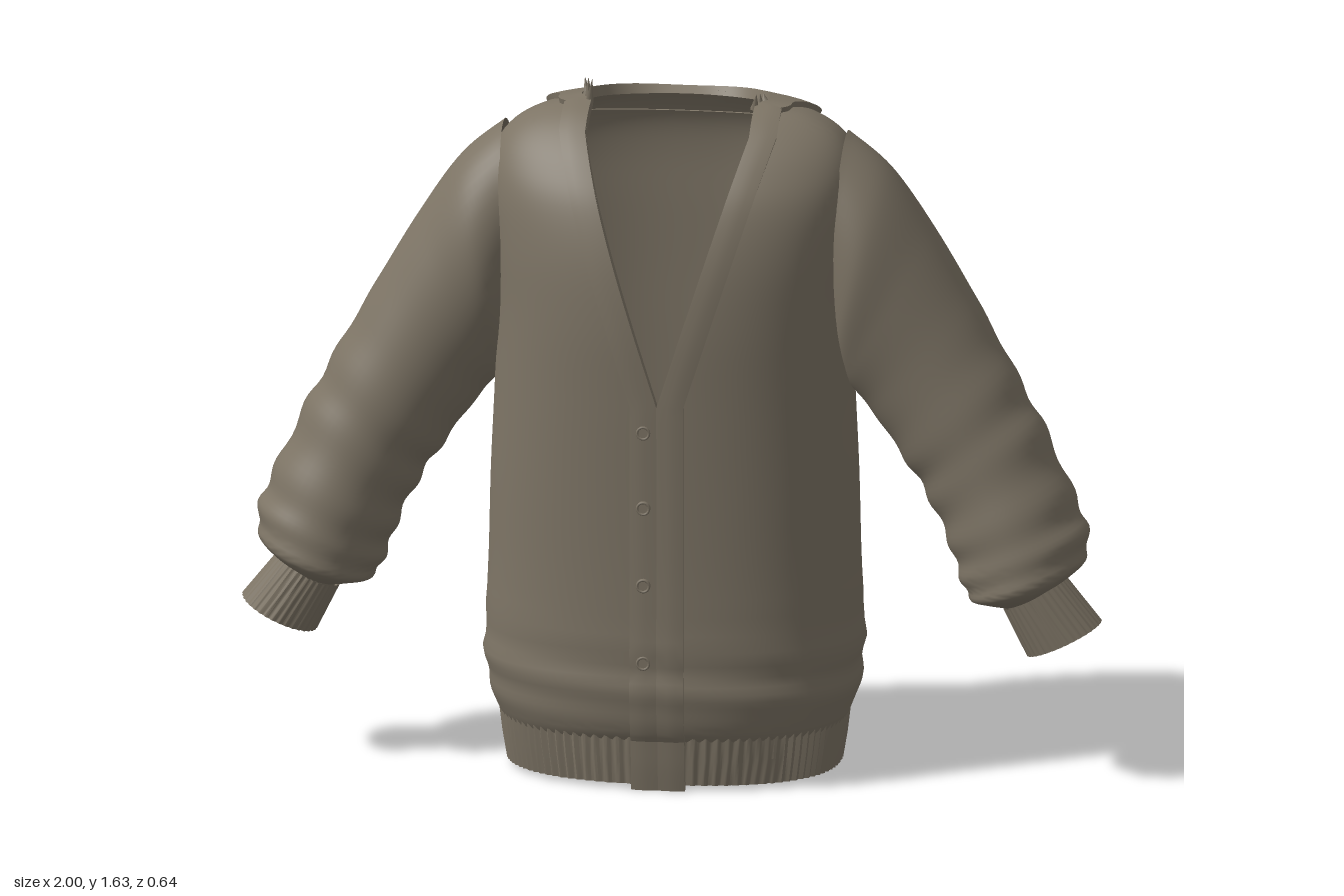
import * as THREE from 'three';
import { toCreasedNormals } from 'three/addons/utils/BufferGeometryUtils.js';

const wool = new THREE.MeshStandardMaterial({ color: 0x7d7465, side: THREE.DoubleSide });
wool.name = 'wool';

// Surface from a rule fn(i, j) -> Vector3 on an nu x nv grid
function grid(nu, nv, fn, flip = false, crease = 0.8) {
  const pos = [], idx = [];
  for (let i = 0; i <= nu; i++)
    for (let j = 0; j <= nv; j++) pos.push(...fn(i / nu, j / nv).toArray());
  for (let i = 0; i < nu; i++)
    for (let j = 0; j < nv; j++) {
      const a = i * (nv + 1) + j, b = a + nv + 1;
      if (flip) idx.push(a, b, a + 1, b, b + 1, a + 1);
      else idx.push(a, a + 1, b, b, a + 1, b + 1);
    }
  const g = new THREE.BufferGeometry();
  g.setAttribute('position', new THREE.Float32BufferAttribute(pos, 3));
  g.setIndex(idx);
  return toCreasedNormals(g, crease);
}

// Smooth interpolation through rows of keys, t counted in rows
function sample(keys, t) {
  const n = keys.length - 1;
  const i = Math.min(Math.max(Math.floor(t), 0), n - 1), s = t - i;
  const k = (d) => keys[Math.min(Math.max(i + d, 0), n)];
  return keys[0].map((_, c) => {
    const p0 = k(-1)[c], p1 = k(0)[c], p2 = k(1)[c], p3 = k(2)[c];
    const m1 = (p2 - p0) / 2, m2 = (p3 - p1) / 2;
    return p1 + s * (m1 + s * (3 * (p2 - p1) - 2 * m1 - m2 + s * (2 * (p1 - p2) + m1 + m2)));
  });
}

// Rows: height, half width, front depth, back depth
const bodyKeys = [
  [0.11, 0.395, 0.285, 0.275], [0.14, 0.41, 0.3, 0.285], [0.2, 0.43, 0.312, 0.3],
  [0.3, 0.438, 0.312, 0.305], [0.5, 0.43, 0.308, 0.285], [0.7, 0.425, 0.308, 0.278],
  [0.92, 0.415, 0.31, 0.278], [1.1, 0.41, 0.31, 0.28], [1.25, 0.42, 0.295, 0.28],
  [1.37, 0.43, 0.26, 0.28], [1.45, 0.42, 0.21, 0.272], [1.51, 0.38, 0.155, 0.255],
  [1.55, 0.31, 0.1, 0.235], [1.57, 0.215, 0.04, 0.22],
];
const hemKeys = [[0.01, 0.385, 0.28, 0.255], [0.07, 0.395, 0.287, 0.268], [0.135, 0.403, 0.292, 0.28]];
const POWER = 2 / 2.4;
const soft = (v) => Math.sign(v) * Math.abs(v) ** POWER;

// Point on the torso; phi = 0 is the front, positive towards +x
function torso(keys, u, phi) {
  const [y, a, f, b] = sample(keys, u);
  const c = Math.cos(phi);
  const fold = 1 + 0.014 * Math.sin(y * 60 + 2 * Math.sin(phi)) * Math.exp(-(((y - 0.27) / 0.08) ** 2));
  const dip = 0.03 * Math.max(0, -c) * THREE.MathUtils.smoothstep(y, 1.4, 1.57);
  return new THREE.Vector3(a * soft(Math.sin(phi)) * fold, y - dip, (c > 0 ? f : b) * soft(c) * fold);
}

// Torso point pushed outwards by off
function raised(keys, u, phi, off) {
  const e = 0.03, n = keys.length - 1;
  const du = torso(keys, Math.min(u + e, n), phi).sub(torso(keys, Math.max(u - e, 0), phi));
  const dp = torso(keys, u, phi + e).sub(torso(keys, u, phi - e));
  return torso(keys, u, phi).addScaledVector(dp.cross(du).normalize(), off);
}

// Half width of the V neck, and the angle at which the torso reaches a given x
const neckX = (y) => Math.min(0.19, Math.max(0, 0.2 * (y - 0.92) / 0.63));
function angleAt(keys, u, x) {
  const a = sample(keys, u)[1];
  return Math.asin(Math.min(1, x / a) ** (1 / POWER));
}

// Sleeve rows: outer x, y, inner x, y, centre z, half depth
const sleeveKeys = [
  [0.4, 1.51, 0.37, 1.05, -0.01, 0.15], [0.5, 1.425, 0.38, 0.98, -0.01, 0.175],
  [0.6, 1.28, 0.4, 0.92, -0.02, 0.175], [0.7, 1.11, 0.45, 0.86, -0.02, 0.168],
  [0.79, 0.95, 0.53, 0.75, -0.005, 0.16], [0.86, 0.82, 0.59, 0.66, 0.005, 0.158],
  [0.93, 0.67, 0.64, 0.56, 0.02, 0.165], [0.965, 0.58, 0.67, 0.475, 0.03, 0.168],
  [0.955, 0.51, 0.7, 0.425, 0.045, 0.155], [0.9, 0.47, 0.775, 0.41, 0.055, 0.095],
];
const cuffKeys = [[0.915, 0.48, 0.775, 0.405, 0.055, 0.095], [1.0, 0.375, 0.83, 0.295, 0.055, 0.1]];

function ringPoint([ox, oy, ix, iy, z, h], th, scale, side) {
  const c = Math.cos(th) * scale;
  return new THREE.Vector3(
    side * ((ox + ix) / 2 + ((ox - ix) / 2) * c),
    (oy + iy) / 2 + ((oy - iy) / 2) * c,
    z + h * Math.sin(th) * scale);
}

export function createModel() {
  const model = new THREE.Group();
  const add = (name, geometry) => {
    const m = new THREE.Mesh(geometry, wool);
    m.name = name;
    model.add(m);
    return m;
  };
  const top = bodyKeys.length - 1;

  // Torso, open at the V neck
  add('torso', grid(top * 5, 96, (i, j) => {
    const u = i * top;
    const p0 = angleAt(bodyKeys, u, neckX(sample(bodyKeys, u)[0]));
    return torso(bodyKeys, u, p0 + (2 * Math.PI - 2 * p0) * j);
  }));

  // Ribbed hem, folded to an inner wall
  const hemRows = [[2, 1], [1, 1], [0, 1], [0, 0.95], [2, 0.95]];
  add('hem', grid(4, 480, (i, j) => {
    const [u, s] = hemRows[Math.round(i * 4)];
    const rib = 1 + 0.009 * Math.sin(j * Math.PI * 2 * 96);
    const p = torso(hemKeys, u, j * Math.PI * 2);
    return p.multiply(new THREE.Vector3(s * rib, 1, s * rib));
  }, true));

  // Button bands running up the front and along the V
  const across = [[0, -0.012], [0, 0.01], [0.33, 0.012], [0.67, 0.012], [1, 0.01], [1, -0.003]];
  const band = (keys, side) => {
    const n = keys.length - 1;
    return grid(n * 6, 5, (i, j) => {
      const u = i * n, x = neckX(sample(keys, u)[0]);
      const [k, off] = across[Math.round(j * 5)];
      const a = angleAt(keys, u, x), b = angleAt(keys, u, x + 0.062);
      return raised(keys, u, side * (a + (b - a) * k), off);
    }, side < 0, 0.6);
  };
  for (const [side, name] of [[1, 'left'], [-1, 'right']]) {
    add(name + 'FrontBand', band(bodyKeys, side));
    add(name + 'HemBand', band(hemKeys, side)).position.y = -0.01;
  }

  // Collar lying over the shoulders and the upper back
  add('collar', grid(7, 72, (i, j) => {
    const phi = 1.15 + (2 * Math.PI - 2.3) * j;
    const back = Math.PI - Math.abs(Math.PI - phi);
    const low = top - 0.6 - 1.6 * THREE.MathUtils.smoothstep(back, 1.6, 2.45);
    const k = Math.round(i * 7);
    const off = k === 0 ? -0.003 : k === 7 ? -0.012 : 0.013;
    const s = Math.min(Math.max(k - 1, 0), 5) / 5;
    return raised(bodyKeys, low + (top - low) * s, phi, off);
  }, false, 0.6));

  // Sleeves with soft wrinkles, and ribbed cuffs
  const cuffRows = [[0, 1], [0.5, 1], [1, 1], [1, 0.88], [0, 0.88]];
  for (const [side, name] of [[1, 'left'], [-1, 'right']]) {
    add(name + 'Sleeve', grid(72, 48, (i, j) => {
      const t = i * 9, th = j * Math.PI * 2;
      const amount = 0.035 * THREE.MathUtils.smoothstep(t, 2.5, 5) * (1 - THREE.MathUtils.smoothstep(t, 8, 9));
      const wrinkle = 1 + amount * Math.sin(t * 6.5 + 1.3 * Math.sin(th + 0.6)) * (0.6 + 0.4 * Math.cos(th * 2));
      return ringPoint(sample(sleeveKeys, t), th, wrinkle, side);
    }, side < 0));
    add(name + 'Cuff', grid(4, 168, (i, j) => {
      const [t, s] = cuffRows[Math.round(i * 4)];
      const rib = 1 + 0.02 * Math.sin(j * Math.PI * 2 * 34);
      return ringPoint(sample(cuffKeys, t), j * Math.PI * 2, s * rib, side);
    }, side < 0));

    // Loose yarn ends at the neck points
    for (let k = 0; k < 3; k++) {
      const h = side < 0 ? 0.065 : 0.04;
      const tuft = add(name + 'YarnEnd', new THREE.ConeGeometry(0.011, h - k * 0.01, 6));
      tuft.position.set(side * (0.2 + 0.008 * (k - 1)), 1.565 + h / 2, 0.035 - 0.018 * k);
      tuft.rotation.set(0.25 * (1 - k), 0, 0.15 * (k - 1));
    }
  }

  // Buttons with a raised rim
  for (const y of [0.86, 0.68, 0.495, 0.31]) {
    const button = new THREE.Group();
    button.name = 'button';
    const disc = new THREE.Mesh(new THREE.CylinderGeometry(0.015, 0.017, 0.008, 16), wool);
    disc.rotation.x = Math.PI / 2;
    const rim = new THREE.Mesh(new THREE.TorusGeometry(0.014, 0.003, 6, 16), wool);
    rim.position.z = 0.004;
    button.add(disc, rim);
    button.position.set(-0.03, y, 0.322);
    model.add(button);
  }
  return model;
}
